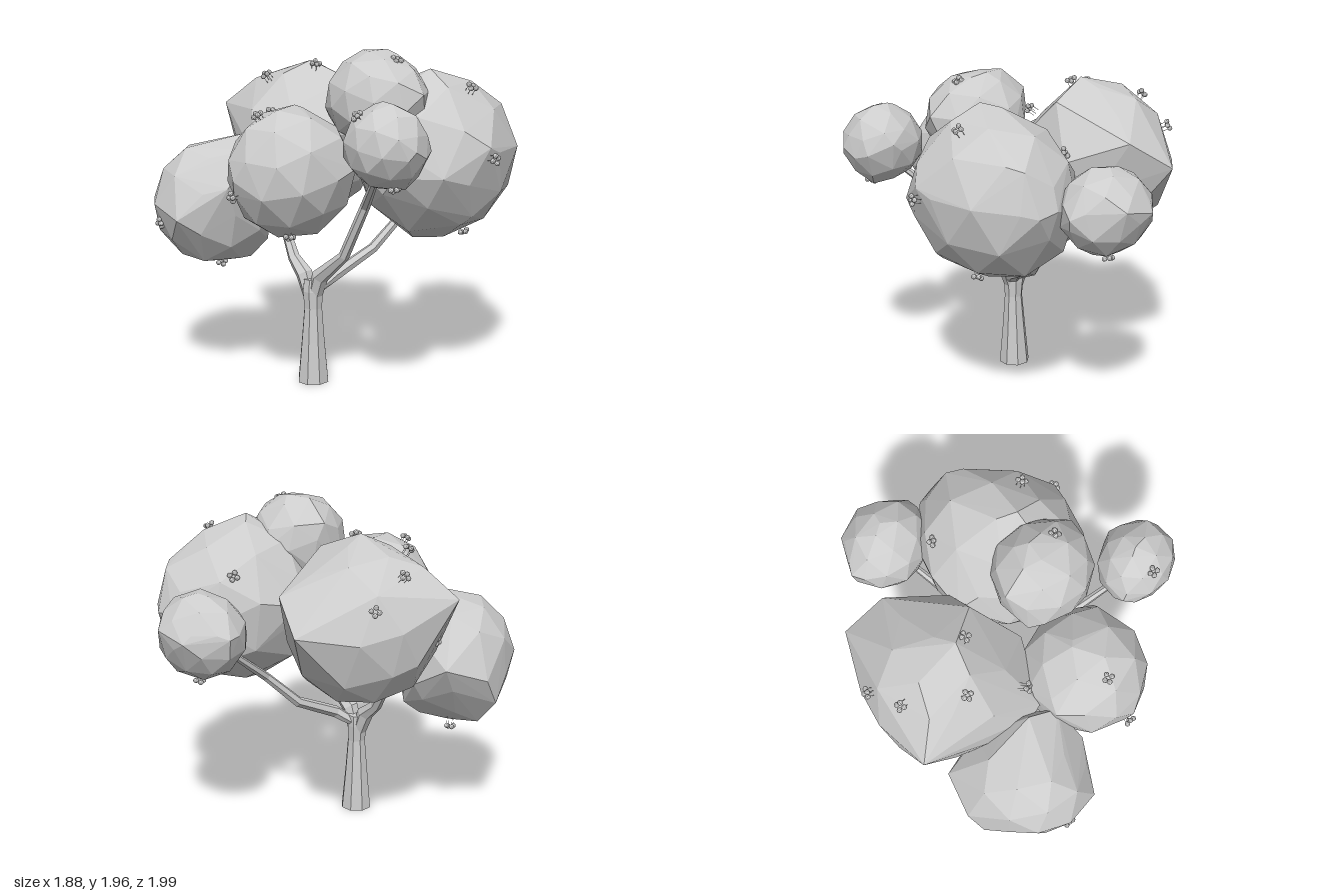
import * as THREE from 'three';
import { mergeVertices, mergeGeometries } from 'three/addons/utils/BufferGeometryUtils.js';
import { ConvexGeometry } from 'three/addons/geometries/ConvexGeometry.js';

const UP = new THREE.Vector3(0, 1, 0);
const V = (p) => new THREE.Vector3(...p);

function seeded(seed) {
  return () => (seed = (seed * 16807) % 2147483647) / 2147483647;
}

// Faceted foliage: a slightly uneven ellipsoid stretched to a few corner points
function foliage(center, radii, tips, seed) {
  const rnd = seeded(seed);
  const ico = new THREE.IcosahedronGeometry(1, 1);
  ico.deleteAttribute('normal');
  ico.deleteAttribute('uv');
  const pos = mergeVertices(ico).attributes.position;
  const turn = new THREE.Euler(seed * 0.013, seed * 0.007, 0);
  const points = tips.map(V);
  for (let i = 0; i < pos.count; i++) {
    const p = new THREE.Vector3().fromBufferAttribute(pos, i).applyEuler(turn);
    points.push(p.multiplyScalar(0.98 + 0.05 * rnd()).multiply(V(radii)).add(V(center)));
  }
  return new ConvexGeometry(points);
}

// Tapering limb: rings of vertices along a bent path, capped at both ends
function limb(path, radii, sides) {
  const pts = path.map(V), pos = [], index = [];
  pts.forEach((p, i) => {
    const dir = pts[Math.min(i + 1, pts.length - 1)].clone().sub(pts[Math.max(i - 1, 0)]).normalize();
    const q = new THREE.Quaternion().setFromUnitVectors(UP, i ? dir : UP);
    for (let j = 0; j < sides; j++) {
      const a = ((j + 0.5) / sides) * Math.PI * 2;
      const v = new THREE.Vector3(Math.cos(a), 0, Math.sin(a)).multiplyScalar(radii[i]);
      pos.push(...v.applyQuaternion(q).add(p).toArray());
    }
  });
  for (let i = 0; i < pts.length - 1; i++) {
    for (let j = 0; j < sides; j++) {
      const a = i * sides + j, b = i * sides + ((j + 1) % sides);
      index.push(a, a + sides, b, b, a + sides, b + sides);
    }
  }
  const last = (pts.length - 1) * sides;
  for (let j = 1; j < sides - 1; j++) {
    index.push(0, j, j + 1, last, last + j + 1, last + j);
  }
  const g = new THREE.BufferGeometry();
  g.setAttribute('position', new THREE.Float32BufferAttribute(pos, 3));
  g.setIndex(index);
  const flat = g.toNonIndexed();
  flat.computeVertexNormals();
  return flat;
}

// Four small berries on thin stalks; the stalks point along +y
function berryCluster() {
  const parts = [];
  for (let i = 0; i < 4; i++) {
    const a = i * Math.PI / 2 + 0.4, r = 0.022;
    const x = Math.cos(a) * r, z = Math.sin(a) * r, y = (i % 2) * 0.006;
    parts.push(new THREE.IcosahedronGeometry(0.015, 1).translate(x, y, z));
    parts.push(new THREE.CylinderGeometry(0.0015, 0.0015, 0.045, 4).toNonIndexed()
      .translate(x, y + 0.03, z));
  }
  return mergeGeometries(parts);
}

export function createModel() {
  const model = new THREE.Group();
  const grey = new THREE.MeshStandardMaterial({ color: 0xcccccc, flatShading: true });
  grey.name = 'plain grey';
  const add = (name, geometry, parent = model) => {
    const mesh = new THREE.Mesh(geometry, grey);
    mesh.name = name;
    parent.add(mesh);
    return mesh;
  };

  // Trunk and branches
  add('trunk', limb(
    [[-0.078, 0, 0.31], [-0.077, 0.25, 0.31], [-0.075, 0.45, 0.31], [-0.078, 0.55, 0.31], [-0.08, 0.62, 0.305]],
    [0.094, 0.071, 0.055, 0.062, 0.055], 8));
  add('leftFrontBranch', limb(
    [[-0.09, 0.5, 0.31], [-0.145, 0.64, 0.31], [-0.24, 0.72, 0.3], [-0.33, 0.85, 0.27], [-0.44, 1.02, 0.26]],
    [0.045, 0.05, 0.036, 0.028, 0.02], 6));
  add('rightFrontBranch', limb(
    [[-0.07, 0.5, 0.31], [-0.02, 0.645, 0.31], [0.17, 0.8, 0.31], [0.33, 1.11, 0.31], [0.6, 1.38, 0.5]],
    [0.045, 0.05, 0.032, 0.028, 0.018], 6));
  add('backBranch', limb(
    [[-0.06, 0.56, 0.3], [0, 0.64, 0.2], [0.06, 0.76, -0.06], [0.13, 0.95, -0.25], [0.1, 1.28, -0.68]],
    [0.05, 0.036, 0.031, 0.026, 0.018], 6));

  // Foliage masses: centre, radii, corner points
  const masses = {
    leftFoliage: [[-0.45, 1.36, -0.05], [0.41, 0.46, 0.45],
      [[-0.94, 1.56, 0.18], [-0.5, 1.42, -0.63], [-0.36, 1.85, 0.02], [-0.36, 1.35, 0.5], [-0.27, 1.35, 0.5],
        [-0.02, 1.45, -0.25], [-0.02, 1.45, 0.22], [-0.27, 1.58, -0.52], [-0.12, 1.75, -0.05],
        [-0.86, 1.22, -0.05], [-0.3, 0.9, 0.05], [-0.75, 1.72, 0.1]]],
    rightFoliage: [[0.42, 1.35, -0.19], [0.44, 0.47, 0.51],
      [[0.4, 1.38, -0.72], [0.52, 1.36, -0.72], [0.55, 1.6, -0.63], [0.88, 1.45, -0.1], [0.77, 1.3, 0.17],
        [0.56, 1.3, 0.33], [-0.05, 1.4, -0.17], [0.45, 1.85, -0.1], [0.35, 0.87, -0.08], [0.76, 1.05, -0.1]]],
    leftFrontFoliage: [[-0.59, 1.06, 0.6], [0.325, 0.37, 0.37],
      [[-0.4, 1.47, 0.5], [-0.26, 1.4, 0.6], [-0.95, 1.02, 0.45], [-0.94, 0.86, 0.55], [-0.8, 0.7, 0.57],
        [-0.62, 0.68, 0.52], [-0.48, 0.71, 0.42], [-0.45, 0.8, 0.31], [-0.47, 1.02, 0.99],
        [-0.82, 1.1, 0.24], [-0.6, 0.97, 0.22], [-0.27, 1.2, 0.78]]],
    middleFrontFoliage: [[0.04, 1.31, 0.6], [0.345, 0.365, 0.36],
      [[-0.31, 1.46, 0.62], [0.39, 1.35, 0.45], [0.33, 1.52, 0.5], [0.0, 1.67, 0.52],
        [-0.25, 1.3, 0.78], [-0.03, 1.3, 0.96]]],
    rightFrontFoliage: [[0.68, 1.52, 0.545], [0.235, 0.225, 0.21],
      [[0.92, 1.52, 0.58], [0.65, 1.75, 0.53], [0.85, 1.69, 0.5], [0.74, 1.56, 0.33], [0.87, 1.5, 0.4],
        [0.44, 1.5, 0.6], [0.78, 1.3, 0.5]]],
    topFoliage: [[0.29, 1.69, 0.16], [0.3, 0.27, 0.28],
      [[0, 1.83, 0.1], [0.61, 1.74, 0.15], [0.28, 1.96, 0.07], [0.14, 1.95, 0.12], [0, 1.58, 0.25], [0.22, 1.7, -0.12]]],
    backFoliage: [[0.1, 1.335, -0.75], [0.275, 0.245, 0.235],
      [[0.17, 1.4, -1.0], [-0.02, 1.36, -0.99], [-0.19, 1.38, -0.8], [0.39, 1.35, -0.8], [0.1, 1.58, -0.78]]],
  };
  Object.entries(masses).forEach(([name, [c, r, tips]], i) => add(name, foliage(c, r, tips, 37 + i * 61)));

  // Berry clusters, each with its stalks turned into the nearest foliage mass
  const berries = new THREE.Group();
  berries.name = 'berries';
  model.add(berries);
  const cluster = berryCluster();
  [
    [0.42, 1.92, 0.15], [0.67, 1.76, -0.2], [0.91, 1.39, -0.11], [-0.04, 1.64, 0.77],
    [0.6, 1.69, 0.68], [-0.05, 1.21, 0.96], [0.13, 0.97, 0.7], [0.76, 1.3, 0.56],
    [-0.66, 0.65, 0.49], [-0.67, 0.97, 0.95], [0.59, 0.91, -0.25], [0.1, 1.07, -0.78],
    [-0.77, 1.71, -0.07], [-0.55, 1.77, 0.21], [-0.3, 1.84, 0.04], [-0.29, 1.59, 0.43],
    [-0.83, 1.31, 0.15], [-0.77, 1.56, -0.3], [0.15, 1.6, -0.47],
  ].forEach((p) => {
    const inward = Object.values(masses)
      .map(([c, r]) => V(c).sub(V(p)).divide(V(r)))
      .sort((a, b) => a.length() - b.length())[0].normalize();
    const mesh = add('berryCluster', cluster, berries);
    mesh.position.set(...p);
    mesh.quaternion.setFromUnitVectors(UP, inward);
  });
  return model;
}
